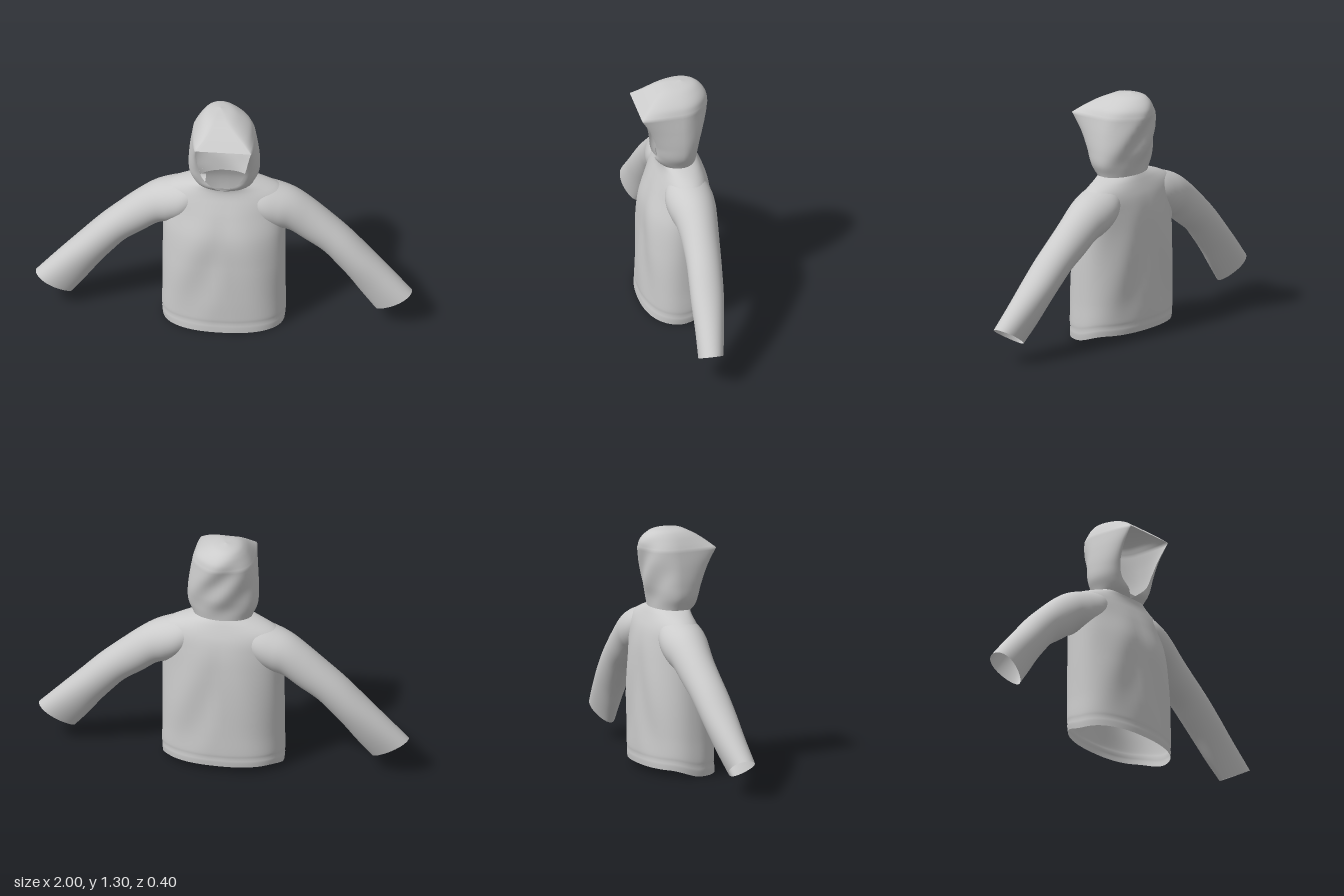
import * as THREE from 'three';

const material = new THREE.MeshStandardMaterial({ color: 0xcccccc, side: THREE.DoubleSide });

// Smoothly resample key rows (first column = parameter) into n + 1 rows
function sampleRows(rows, n, byIndex = false) {
  const times = rows.map((r, i) => (byIndex ? i : r[0]));
  const spline = new THREE.CubicInterpolant(times, rows.flat(), rows[0].length);
  const t0 = times[0], t1 = times[times.length - 1];
  return Array.from({ length: n + 1 }, (_, i) => [...spline.evaluate(t0 + ((t1 - t0) * i) / n)]);
}

// Skin closed rings of equal length; keep(i, j) can leave openings
function skin(name, rings, keep = () => true) {
  const n = rings[0].length, index = [];
  for (let i = 0; i < rings.length - 1; i++) {
    for (let j = 0; j < n; j++) {
      if (!keep(i, j)) continue;
      const a = i * n + j, b = i * n + ((j + 1) % n);
      index.push(a, b, b + n, a, b + n, a + n);
    }
  }
  const geometry = new THREE.BufferGeometry();
  geometry.setAttribute('position', new THREE.Float32BufferAttribute(rings.flat(2), 3));
  geometry.setIndex(index);
  geometry.computeVertexNormals();
  const mesh = new THREE.Mesh(geometry, material);
  mesh.name = name;
  return mesh;
}

const spow = (v, p) => Math.sign(v) * Math.abs(v) ** p;

// Body: y, half width, front z, back z, side z, roundness exponent
function makeBody() {
  const rows = sampleRows([
    [0, 0.323, 0.19, -0.197, 0, 2.35],
    [0.04, 0.328, 0.188, -0.2, 0, 2.35],
    [0.2, 0.326, 0.184, -0.2, 0, 2.35],
    [0.4, 0.326, 0.176, -0.2, -0.005, 2.35],
    [0.57, 0.325, 0.16, -0.193, -0.02, 2.3],
    [0.7, 0.325, 0.122, -0.182, -0.04, 2.2],
    [0.77, 0.325, 0.097, -0.168, -0.045, 2.2],
    [0.81, 0.305, 0.083, -0.153, -0.045, 2.1],
    [0.838, 0.25, 0.078, -0.14, -0.04, 2],
    [0.858, 0.195, 0.08, -0.13, -0.03, 2],
    [0.87, 0.155, 0.085, -0.122, -0.02, 2],
  ], 64);
  const N = 72;
  return skin('body', rows.map(([y, w, zf, zb, zs, e]) => {
    const groove = 0.003 * Math.exp(-(((y - 0.055) / 0.01) ** 2)); // hem stitching
    return Array.from({ length: N }, (_, j) => {
      const t = (j / N) * Math.PI * 2;
      const c = spow(Math.cos(t), 2 / e), s = spow(Math.sin(t), 2 / e);
      const x = s * (w - groove);
      // soft folds falling from the armpits
      const fold = 0.006 * Math.sin(22 * Math.abs(x) + 9 * y) * Math.sin(Math.PI * Math.min(1, y / 0.8)) * c;
      const z = zs + c * ((c > 0 ? zf - zs : zs - zb) - groove) + fold;
      // the hem sits a little higher at the back
      const lift = 0.035 * THREE.MathUtils.smoothstep(-z, -0.03, 0.13) * Math.max(0, 1 - y / 0.3);
      return [x, y + lift, z];
    });
  }));
}

// Sleeve, growing out of the shoulder: upper edge x, y, lower edge x, y, front z, back z
function makeSleeve(side, name) {
  const rows = sampleRows([
    [0.1, 0.85, 0.14, 0.66, 0.06, -0.13],
    [0.2, 0.842, 0.22, 0.605, 0.088, -0.163],
    [0.295, 0.818, 0.285, 0.575, 0.082, -0.168],
    [0.38, 0.783, 0.345, 0.555, 0.064, -0.16],
    [0.47, 0.72, 0.42, 0.5, 0.052, -0.15],
    [0.57, 0.635, 0.52, 0.43, 0.05, -0.138],
    [0.67, 0.545, 0.588, 0.358, 0.055, -0.127],
    [0.77, 0.442, 0.655, 0.28, 0.06, -0.113],
    [0.88, 0.33, 0.725, 0.187, 0.061, -0.09],
    [1.0, 0.205, 0.805, 0.09, 0.067, -0.06],
  ], 63, true);
  const N = 44;
  return skin(name, rows.map(([tx, ty, bx, by, zf, zb], i) => {
    const taper = 0.25 * Math.max(0, i / 31 - 1); // teardrop section towards the cuff
    return Array.from({ length: N }, (_, j) => {
      const t = (j / N) * Math.PI * 2 * side;
      const k = (1 + Math.cos(t)) / 2;
      const z = (zf + zb) / 2 + (Math.sin(t) * (1 + taper * Math.cos(t)) * (zf - zb)) / 2;
      return [side * (bx + (tx - bx) * k), by + (ty - by) * k, z];
    });
  }));
}

// Hood: y, half width, half opening, rim z, side z, back z
function makeHood() {
  const brow = [1.19, 0.165, 0.148, 0.2, -0.02, -0.183];
  const lower = sampleRows([
    [0.845, 0.15, 0, 0.075, -0.02, -0.118],
    [0.88, 0.163, 0.04, 0.105, -0.02, -0.122],
    [0.93, 0.185, 0.095, 0.105, -0.02, -0.13],
    [1.0, 0.189, 0.122, 0.115, -0.02, -0.15],
    [1.1, 0.18, 0.138, 0.15, -0.02, -0.167],
    brow,
  ], 32);
  const crown = sampleRows([
    brow,
    [1.23, 0.143, 0.1, 0.152, -0.02, -0.178],
    [1.265, 0.108, 0.058, 0.1, -0.025, -0.157],
    [1.29, 0.066, 0.028, 0.04, -0.04, -0.12],
    [1.303, 0, 0, -0.05, -0.05, -0.05],
  ], 20, true);
  const F = 5, A = 9, B = 12; // steps across the brow, cheek and back
  const rings = [...lower, ...crown.slice(1)].map(([y, w, a, zr, zs, zb]) => {
    const half = [];
    for (let k = 0; k < F; k++) half.push([(a * k) / F, zr]);
    for (let k = 0; k < A; k++) {
      const t = ((1 - k / A) * Math.PI) / 2;
      half.push([a + (w - a) * Math.cos(t), zs + (zr - zs) * Math.sin(t)]);
    }
    for (let k = 0; k <= B; k++) {
      const t = ((k / B) * Math.PI) / 2;
      half.push([w * Math.cos(t), zs + (zb - zs) * Math.sin(t)]);
    }
    const full = [...half, ...half.slice(1, -1).reverse().map(([x, z]) => [-x, z])];
    return full.map(([x, z]) => {
      // slouching folds at the back, and a slight twist of the brow
      const back = Math.max(0, -z) * Math.sin(Math.PI * Math.min(1, Math.max(0, (y - 0.85) / 0.45)));
      const fold = 0.05 * back * Math.sin(32 * x + 24 * y);
      const twist = 0.014 * Math.max(0, Math.min(1, (y - 1) / 0.19)) * (z / 0.2);
      // the crown leans to the right
      const lean = -0.02 * THREE.MathUtils.smoothstep(y, 1.22, 1.303);
      return [x + twist + lean, y, z + fold];
    });
  });
  const n = rings[0].length;
  return skin('hood', rings, (i, j) => i >= 32 || (j >= F && j < n - F));
}

export function createModel() {
  const group = new THREE.Group();
  group.name = 'hoodedJacket';
  group.add(makeBody(), makeSleeve(1, 'leftSleeve'), makeSleeve(-1, 'rightSleeve'), makeHood());
  return group;
}
